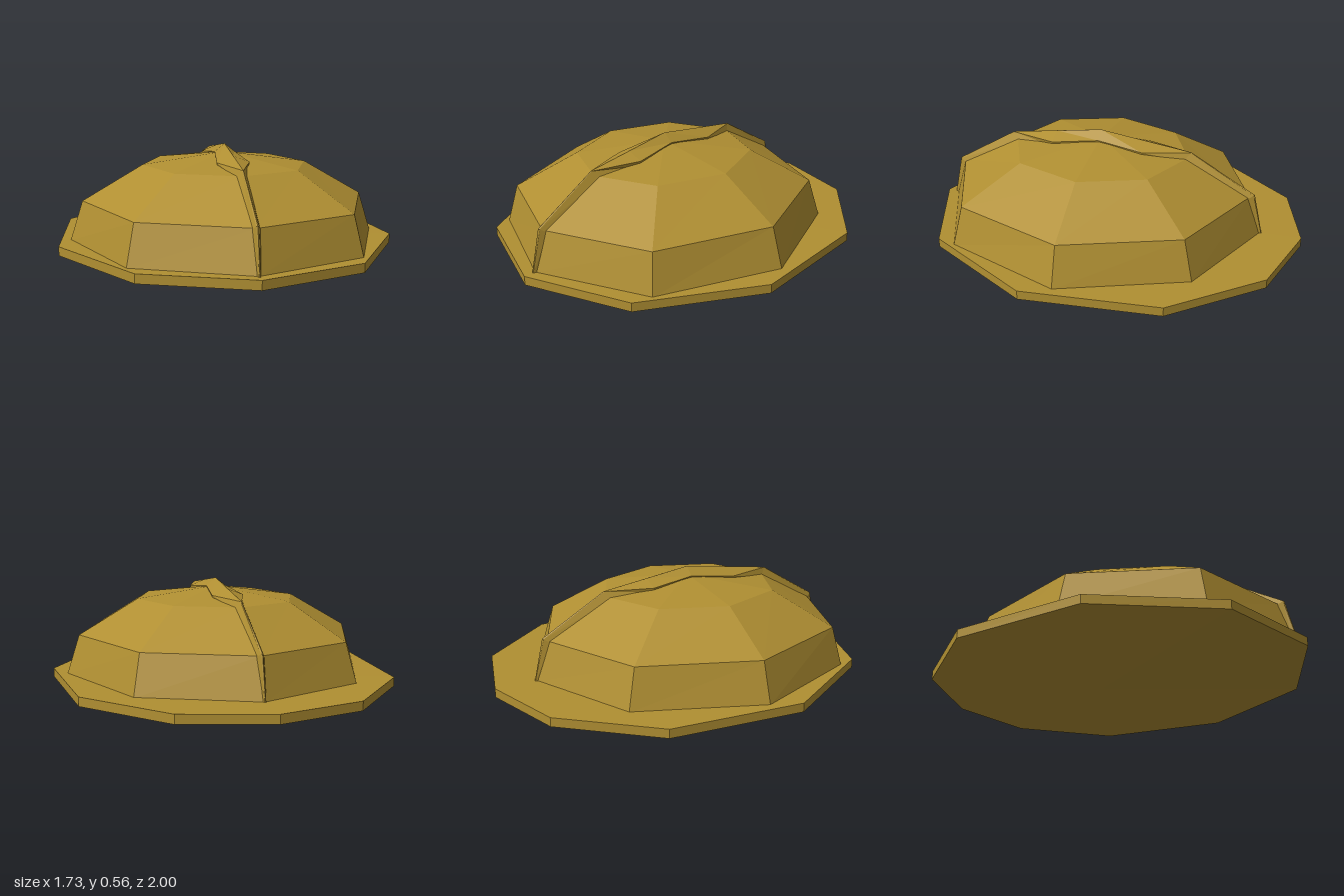
import * as THREE from 'three';

// Faceted skin over a list of equally long point rows
function loft(rows, closed, material, name) {
  const pos = [], n = rows[0].length;
  const tri = (a, b, c) => {
    const same = (p, q) => p.every((v, k) => v === q[k]);
    if (!same(a, b) && !same(b, c) && !same(a, c)) pos.push(...a, ...b, ...c);
  };
  for (let r = 0; r < rows.length - 1; r++) {
    for (let i = 0; i < (closed ? n : n - 1); i++) {
      const j = (i + 1) % n, A = rows[r], B = rows[r + 1];
      tri(A[i], A[j], B[j]);
      tri(A[i], B[j], B[i]);
    }
  }
  const geometry = new THREE.BufferGeometry();
  geometry.setAttribute('position', new THREE.Float32BufferAttribute(pos, 3));
  geometry.computeVertexNormals();
  const mesh = new THREE.Mesh(geometry, material);
  mesh.name = name;
  return mesh;
}

// Closed ring from the [x, z] points of one half, front to back
function ring(half, y) {
  const mirrored = half.slice(1, -1).reverse().map(([x, z]) => [-x, z]);
  return [...half, ...mirrored].map(([x, z]) => [x, y, z]);
}

export function createModel() {
  const group = new THREE.Group();
  group.name = 'helmet';
  const brass = new THREE.MeshStandardMaterial({ color: 0xb08f32 });
  brass.name = 'brass';
  brass.flatShading = true;

  // Ten-sided brim with a shallow pointed underside
  const outline = [[0, 1], [0.53, 0.8], [0.865, 0.23], [0.805, -0.46], [0.44, -0.88], [0, -1]];
  const centre = outline.map(() => [0, -0.1]);
  group.add(loft([
    ring(centre, 0), ring(outline, 0.028), ring(outline, 0.074), ring(centre, 0.076),
  ], true, brass, 'brim'));

  // Eight-sided dome: [y, front z, diagonal x, diagonal front z, side x, diagonal back z, back z]
  const domeRows = [
    [0.07, 0.94, 0.56, 0.7, 0.805, -0.54, -0.785],
    [0.275, 0.88, 0.52, 0.66, 0.74, -0.49, -0.72],
    [0.455, 0.555, 0.305, 0.42, 0.43, -0.25, -0.39],
    [0.515, 0.08, 0, 0.08, 0, 0.08, 0.08],
  ].map(([y, f, dx, df, sx, db, b]) =>
    ring([[0, f], [dx, df], [sx, 0.08], [dx, db], [0, b]], y));
  group.add(loft(domeRows, true, brass, 'dome'));

  // Crest from front to back: ridge [y, z], edge [x, y, z], base [x, y, z]
  const front = [
    [[0.07, 0.955], [0.004, 0.07, 0.953], [0.01, 0.07, 0.93]],
    [[0.29, 0.905], [0.006, 0.288, 0.9], [0.022, 0.265, 0.865]],
    [[0.487, 0.575], [0.003, 0.486, 0.573], [0.03, 0.445, 0.54]],
    [[0.522, 0.325], [0.083, 0.49, 0.325], [0.078, 0.465, 0.325]],
  ];
  const middle = [[0.557, 0.08], [0.052, 0.515, 0.08], [0.05, 0.49, 0.08]];
  // The back half repeats the front, slightly shorter
  const backZ = z => 0.08 - (z - 0.08) * (z > 0.8 ? 1.0 : 0.98);
  const back = front.map(([r, e, b]) => [
    [r[0], backZ(r[1])], [e[0], e[1], backZ(e[2])], [b[0], b[1], backZ(b[2])],
  ]).reverse();
  const crestRows = [...front, middle, ...back].map(([r, e, b]) => [
    [-b[0], b[1], b[2]], [-e[0], e[1], e[2]], [0, r[0], r[1]], e, b,
  ]);
  group.add(loft(crestRows, false, brass, 'crest'));

  return group;
}
